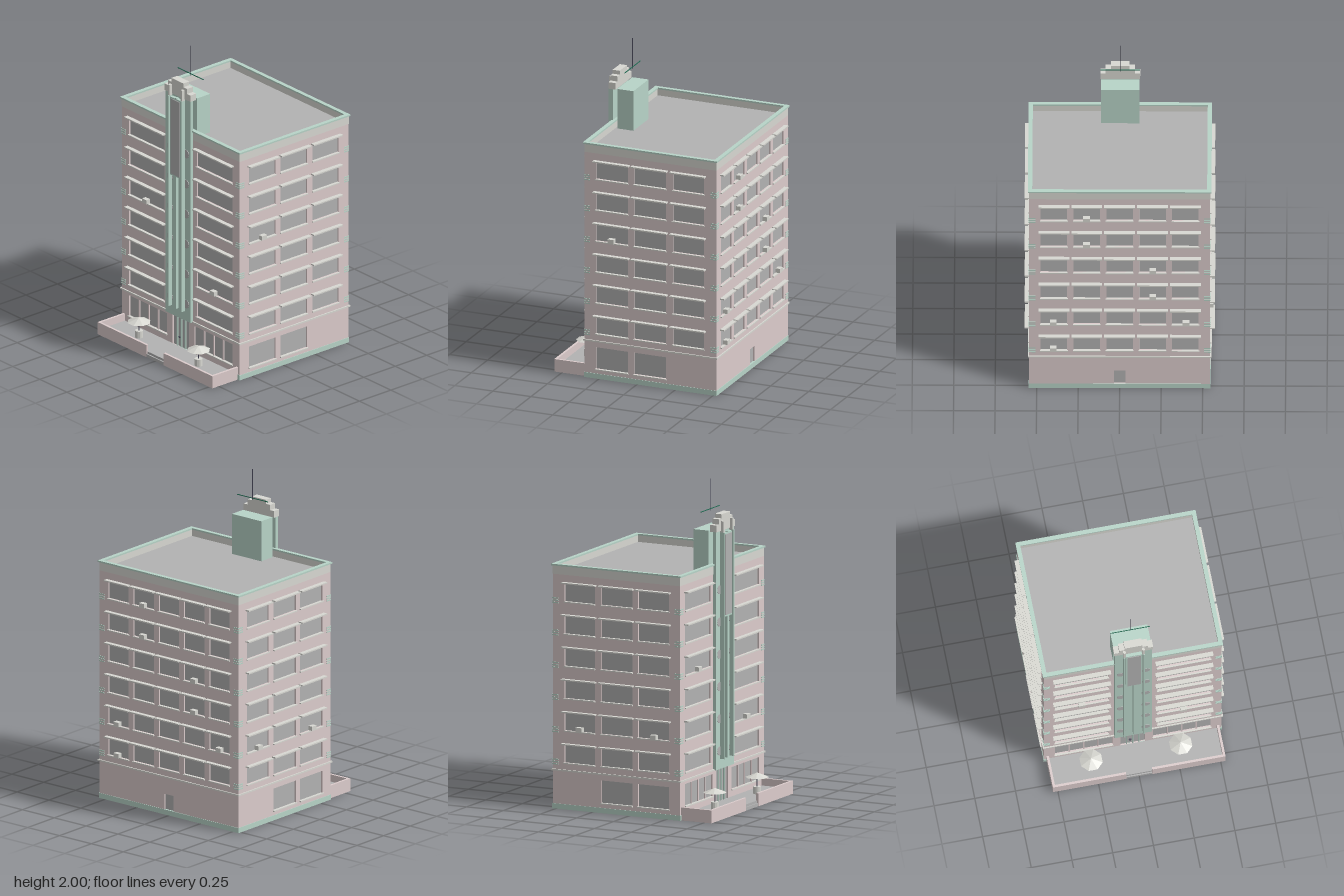
import * as THREE from 'three';

const mat = (color) => new THREE.MeshStandardMaterial({ color, flatShading: true });
const PINK = mat(0xdccccc), MINT = mat(0xb8d4c8), STONE = mat(0xd8d8d2), GREY = mat(0xb2b2b2);
const DARK = mat(0x1f6b52), METAL = mat(0x444455);

// Footprint: half width, back and front
const HW = 0.545, ZB = -0.52, ZF = 0.345, ZC = (ZB + ZF) / 2, D = ZF - ZB;
const FLOORS = 6, sillY = (i) => 0.287 + i * 0.198;

function add(parent, name, geo, material, x = 0, y = 0, z = 0) {
  const m = new THREE.Mesh(geo, material);
  m.name = name;
  m.position.set(x, y, z);
  parent.add(m);
  return m;
}

// Box given by its min/max on each axis
function box(parent, name, material, x0, x1, y0, y1, z0, z1) {
  return add(parent, name, new THREE.BoxGeometry(x1 - x0, y1 - y0, z1 - z0), material,
    (x0 + x1) / 2, (y0 + y1) / 2, (z0 + z1) / 2);
}

function rect(target, x0, x1, y0, y1) {
  target.moveTo(x0, y0);
  target.lineTo(x1, y0);
  target.lineTo(x1, y1);
  target.lineTo(x0, y1);
  target.closePath();
  return target;
}

// Rectangular band running round the building
function ring(parent, name, material, out, thick, y0, y1) {
  const w = HW + out, d = D / 2 + out;
  const shape = rect(new THREE.Shape(), -w, w, -d, d);
  shape.holes.push(rect(new THREE.Path(), -w + thick, w - thick, -d + thick, d - thick));
  const geo = new THREE.ExtrudeGeometry(shape, { depth: y1 - y0, bevelEnabled: false });
  geo.rotateX(-Math.PI / 2);
  return add(parent, name, geo, material, 0, y0, ZC);
}

// One wall with window openings, panes, sills and awnings; local z = 0 is its outer face
function facade(root, name, half, bays, ground, units) {
  const g = new THREE.Group();
  g.name = name;
  root.add(g);
  const T = 0.02, openings = ground.map((o) => [...o]);
  for (let i = 0; i < FLOORS; i++) {
    const y = sillY(i);
    for (const [x0, x1] of bays) {
      openings.push([x0, x1, y, y + 0.11]);
      box(g, 'awning', STONE, x0 - 0.013, x1 + 0.013, y + 0.111, y + 0.119, -0.005, 0.028);
    }
  }
  const shape = rect(new THREE.Shape(), -half, half, 0.03, 1.45);
  for (const o of openings) shape.holes.push(rect(new THREE.Path(), ...o));
  const geo = new THREE.ExtrudeGeometry(shape, { depth: T, bevelEnabled: false });
  add(g, 'wall', geo, PINK, 0, 0, -T);
  for (const [x0, x1, y0, y1] of openings) {
    box(g, 'windowPane', GREY, x0, x1, y0, y1, -0.016, -0.01);
    if (y0 > 0.04) box(g, 'sill', STONE, x0 - 0.004, x1 + 0.004, y0 - 0.007, y0, -0.01, 0.009);
  }
  for (const [x, floor] of units) {
    const y = sillY(floor);
    box(g, 'airConditioner', STONE, x - 0.02, x + 0.02, y, y + 0.027, -0.01, 0.02);
  }
  return g;
}

function buildWalls(root) {
  // Front: one wide bay either side of the tower
  const wide = [[-0.478, -0.15], [0.15, 0.478]];
  const front = facade(root, 'frontFacade', HW, wide,
    [[-0.478, -0.125, 0.08, 0.215], [0.125, 0.478, 0.08, 0.215], [-0.075, 0.075, 0.032, 0.232]],
    [[-0.315, 3], [0.31, 1]]);
  front.position.z = ZF;
  for (const s of [-1, 1]) for (let i = 1; i < 4; i++) {
    const x = s * (0.125 + i * 0.088);
    box(front, 'shopMullion', PINK, x - 0.004, x + 0.004, 0.08, 0.215, -0.012, -0.002);
  }
  for (const x of [-0.037, 0, 0.037])
    box(front, 'doorMullion', MINT, x - 0.003, x + 0.003, 0.032, 0.232, -0.012, -0.002);
  box(front, 'doorHandle', METAL, -0.024, -0.008, 0.092, 0.096, -0.01, 0);

  // Back: five narrow bays and a service door
  const narrow = [];
  for (let i = -2; i <= 2; i++) narrow.push([i * 0.198 - 0.08, i * 0.198 + 0.08]);
  const back = facade(root, 'backFacade', HW, narrow, [[-0.035, 0.035, 0.032, 0.13]],
    [[-0.2, 5], [-0.2, 4], [0.2, 3], [0.2, 2], [-0.4, 1], [0.4, 1], [-0.4, 0]]);
  back.position.z = ZB;
  back.rotation.y = Math.PI;

  // Sides: three bays, two larger windows on the ground floor
  for (const s of [-1, 1]) {
    const toLocal = (a, b) => [-s * (a - ZC), -s * (b - ZC)].sort((p, q) => p - q);
    const bays = [toLocal(0.06, 0.27), toLocal(-0.19, 0.02), toLocal(-0.44, -0.235)];
    const ground = bays.slice(0, 2).map((b) => [...b, 0.062, 0.2]);
    const units = s > 0 ? [[-(0.165 - ZC), 3]] : [[0.17 - ZC, 1], [-0.335 - ZC, 1]];
    const side = facade(root, s > 0 ? 'leftFacade' : 'rightFacade', D / 2 - 0.02, bays, ground, units);
    side.position.set(s * HW, 0, ZC);
    side.rotation.y = s * Math.PI / 2;
  }

  // Banded corner ornaments on every floor
  for (let i = 0; i < FLOORS; i++) for (const sx of [-1, 1]) for (const z of [ZB, ZF])
    for (let k = 0; k < 3; k++)
      add(root, 'cornerBand', new THREE.BoxGeometry(0.04, 0.007, 0.04), MINT,
        sx * (HW - 0.017), sillY(i) - 0.012 + k * 0.014, z - Math.sign(z) * 0.017);
}

function buildTower(root) {
  const g = new THREE.Group();
  g.name = 'tower';
  root.add(g);
  box(g, 'towerSlab', MINT, -0.115, 0.115, 0.238, 1.7, ZF, 0.366);
  for (const x of [-0.06, 0, 0.06])
    box(g, 'towerFin', MINT, x - 0.005, x + 0.005, 0.3, 1.69, 0.366, x ? 0.395 : 0.386);
  box(g, 'panelFrame', MINT, -0.049, 0.049, 1.17, 1.685, 0.366, 0.387);
  box(g, 'panel', GREY, -0.041, 0.041, 1.18, 1.675, 0.38, 0.391);
  for (let i = 0; i < FLOORS; i++) for (const s of [-1, 1]) {
    const disc = add(g, 'roundWindow', new THREE.CylinderGeometry(0.027, 0.027, 0.004, 24), GREY,
      s * 0.075, 0.35 + i * 0.198, 0.3665);
    disc.rotation.x = Math.PI / 2;
  }
  // Stepped crown
  const steps = [[0.12, 1.7, 1.742], [0.088, 1.742, 1.775], [0.055, 1.775, 1.8]];
  for (const [w, y0, y1] of steps) box(g, 'crownStep', STONE, -w, w, y0, y1, 0.325, 0.372);
  for (const x of [-0.058, 0.058])
    box(g, 'crownRib', STONE, x - 0.008, x + 0.008, 1.69, 1.76, 0.366, 0.39);
  // Roof house and aerial
  box(g, 'roofHouse', MINT, -0.115, 0.115, 1.44, 1.705, 0.21, 0.315);
  add(g, 'aerialMast', new THREE.CylinderGeometry(0.002, 0.002, 0.195, 6), METAL, 0, 1.9025, 0.265);
  box(g, 'aerialBar', DARK, -0.12, 0.12, 1.813, 1.817, 0.263, 0.267);
}

function buildTerrace(root) {
  const g = new THREE.Group();
  g.name = 'terrace';
  root.add(g);
  box(g, 'terraceFloor', GREY, -0.52, 0.52, 0, 0.035, ZF, 0.54);
  box(g, 'entranceStep', GREY, -0.08, 0.08, 0, 0.02, 0.54, 0.548);
  for (const s of [-1, 1]) {
    const span = (a, b) => (s > 0 ? [a, b] : [-b, -a]);
    box(g, 'terraceFrontWall', PINK, ...span(0.08, 0.53), 0, 0.08, 0.535, 0.55);
    box(g, 'terraceSideWall', PINK, ...span(0.515, 0.53), 0, 0.08, ZF, 0.535);
    // Table with an eight-sided parasol
    const x = s * 0.275, z = 0.44;
    add(g, 'table', new THREE.CylinderGeometry(0.024, 0.024, 0.045, 12), STONE, x, 0.0575, z);
    add(g, 'parasolPole', new THREE.CylinderGeometry(0.003, 0.003, 0.085, 6), METAL, x, 0.1175, z);
    const canopy = add(g, 'parasol', new THREE.ConeGeometry(0.072, 0.028, 8), STONE, x, 0.151, z);
    canopy.rotation.y = Math.PI / 8;
  }
}

export function createModel() {
  const root = new THREE.Group();
  root.name = 'apartmentBuilding';
  buildWalls(root);
  // Horizontal bands, parapet and roof deck
  ring(root, 'plinth', MINT, 0.003, 0.023, 0, 0.032);
  ring(root, 'beltCourse', STONE, 0.008, 0.026, 0.234, 0.244);
  ring(root, 'parapet', STONE, 0.001, 0.018, 1.44, 1.492);
  ring(root, 'parapetCap', MINT, 0.008, 0.026, 1.492, 1.502);
  box(root, 'roofDeck', GREY, -HW + 0.012, HW - 0.012, 1.435, 1.452, ZB + 0.012, ZF - 0.012);
  buildTower(root);
  buildTerrace(root);
  return root;
}
